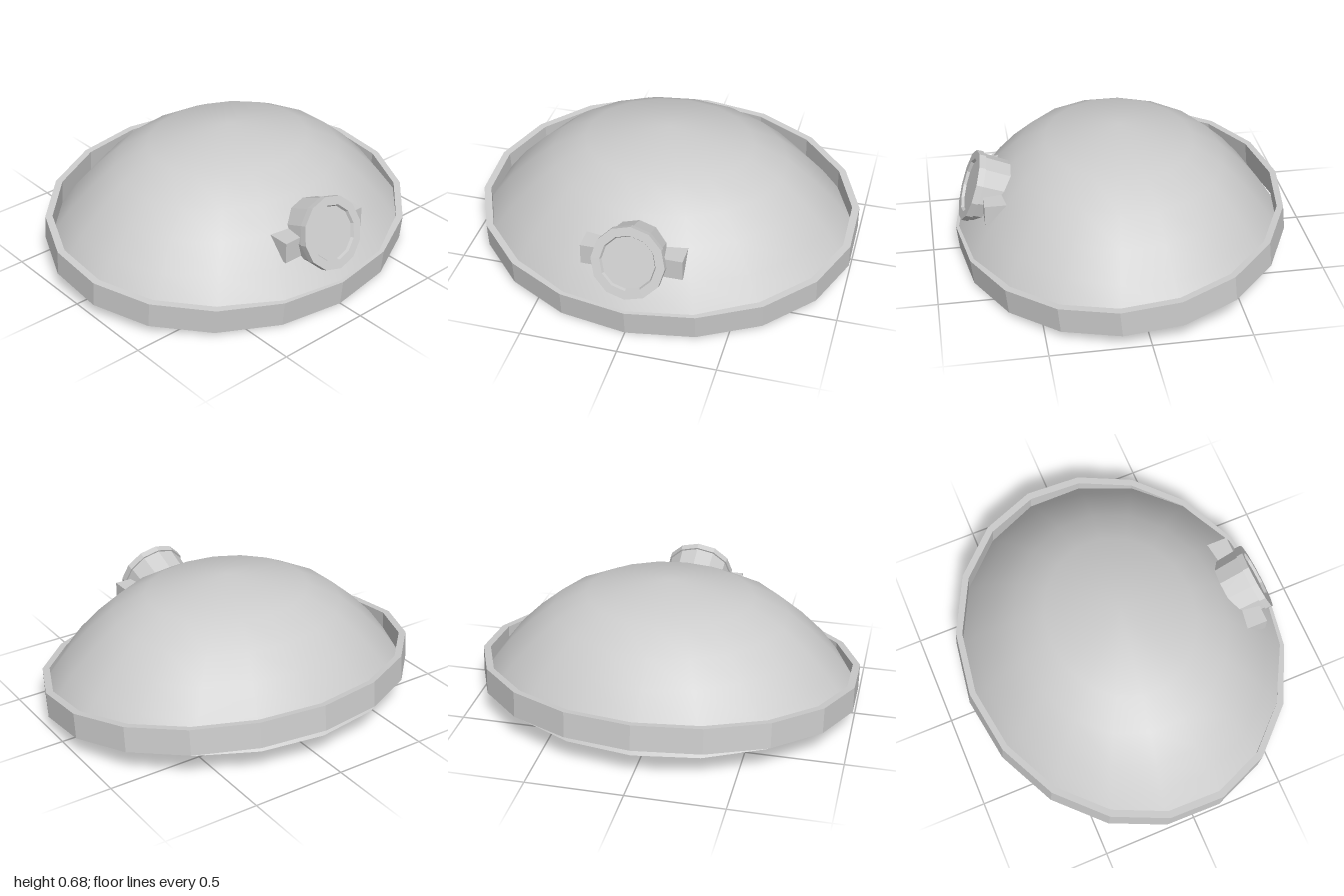
import * as THREE from 'three';
import { toCreasedNormals } from 'three/addons/utils/BufferGeometryUtils.js';

// Spin a profile of [radius, height] points
const lathe = (points, sides) =>
  new THREE.LatheGeometry(points.map(([r, y]) => new THREE.Vector2(r, y)), sides);

// Give every face its own flat normal
function faceted(geometry) {
  const flat = geometry.toNonIndexed();
  flat.computeVertexNormals();
  return flat;
}

export function createModel() {
  const model = new THREE.Group();
  model.name = 'helmet';
  const grey = new THREE.MeshStandardMaterial({ color: 0xcccccc });
  grey.name = 'grey';

  const add = (parent, name, geometry) => {
    const mesh = new THREE.Mesh(geometry, grey);
    mesh.name = name;
    parent.add(mesh);
    return mesh;
  };

  // Smooth hollow dome: down the inside, round the rim, up the outside
  const shell = lathe([
    [0, 0.63], [0.365, 0.553], [0.51, 0.468], [0.62, 0.365], [0.72, 0.25], [0.81, 0.11],
    [0.857, 0.137], [0.765, 0.275], [0.66, 0.397], [0.545, 0.508], [0.386, 0.598], [0, 0.677],
  ], 18);
  shell.scale(1.147, 1, 1);
  add(model, 'dome', toCreasedNormals(shell, 0.8));

  // Faceted oval brim band, tipped down at the front
  const band = lathe([[0.962, 0.068], [0.962, -0.068], [1, -0.068], [1, 0.068], [0.962, 0.068]], 18);
  band.scale(1.015, 1, 0.871);
  const brim = add(model, 'brimBand', faceted(band));
  brim.position.y = 0.155;
  brim.rotation.x = 0.1;

  // Headlamp pointing forward and slightly up, its back end inside the dome
  const lamp = new THREE.Group();
  lamp.name = 'headlamp';
  lamp.position.set(0, 0.385, 0.79);
  lamp.rotation.x = Math.PI / 2 - 0.35;
  model.add(lamp);
  add(lamp, 'lampBody', faceted(lathe([[0, -0.28], [0.165, -0.28], [0.178, -0.035]], 12)));
  add(lamp, 'lampRim', faceted(lathe([
    [0.17, -0.035], [0.187, -0.035], [0.187, 0], [0.142, 0], [0.135, -0.015],
  ], 12)));
  add(lamp, 'lampLens', faceted(lathe([[0.137, -0.015], [0, -0.015]], 12)));

  // Side brackets passing through the dome
  for (const side of [-1, 1]) {
    const bracket = add(model, side > 0 ? 'leftBracket' : 'rightBracket',
      faceted(new THREE.BoxGeometry(0.14, 0.11, 0.18)));
    bracket.position.set(side * 0.19, 0.345, 0.64);
  }
  return model;
}
